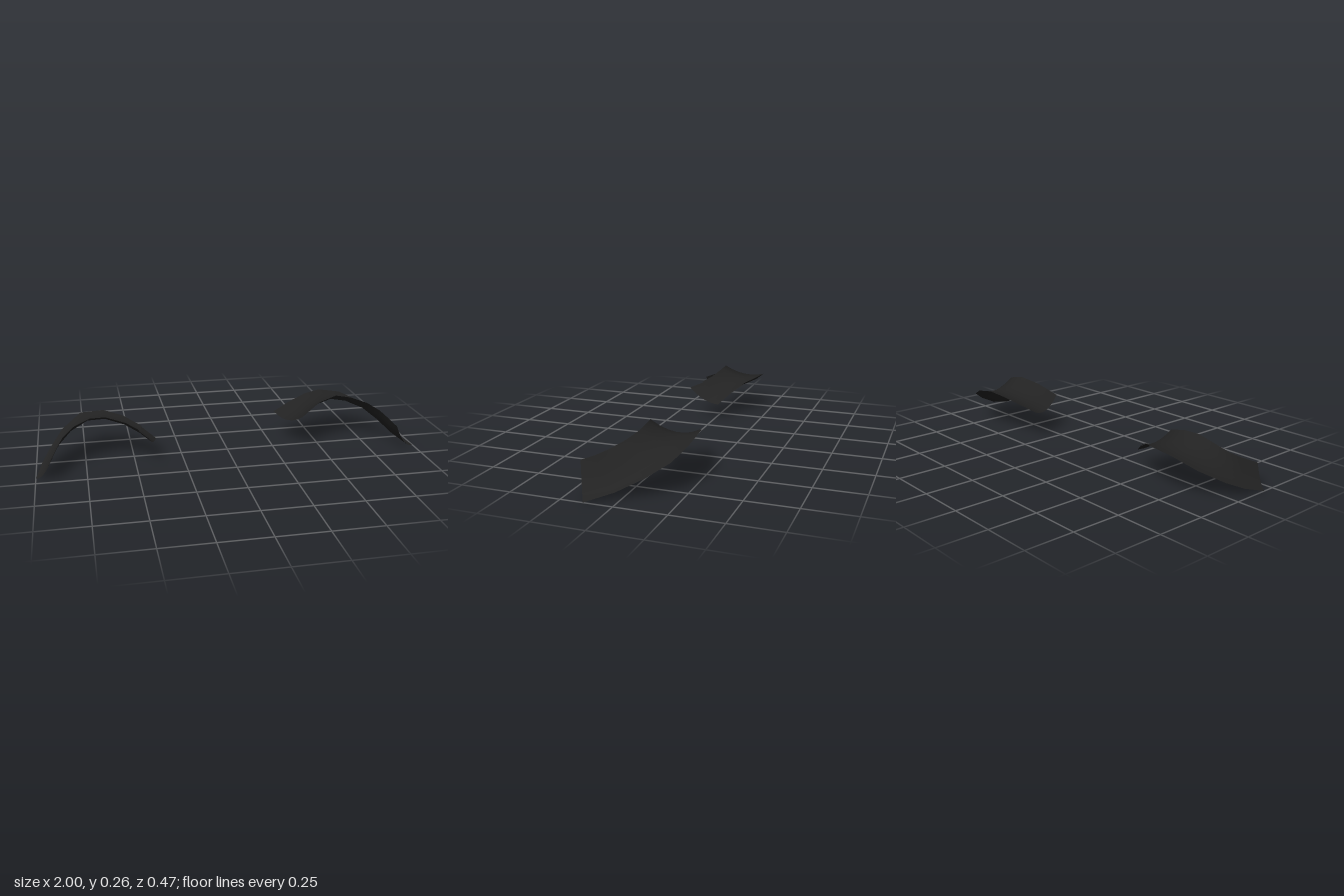
import * as THREE from 'three';

const hairMaterial = new THREE.MeshStandardMaterial({ color: 0x222222, side: THREE.DoubleSide });
hairMaterial.name = 'black hair';

// Curved sheet lofted between a back and a front edge, sagging between them.
// Each section is [backX, backY, backZ, frontX, frontY, frontZ], ordered by falling x.
function browSheet(name, sections, sag, rows = 6) {
  const positions = [], index = [];
  for (const [bx, by, bz, fx, fy, fz] of sections) {
    for (let j = 0; j <= rows; j++) {
      const t = j / rows;
      positions.push(bx + (fx - bx) * t, by + (fy - by) * t - sag * 4 * t * (1 - t), bz + (fz - bz) * t);
    }
  }
  const n = rows + 1;
  for (let i = 0; i < sections.length - 1; i++) {
    for (let j = 0; j < rows; j++) {
      const a = i * n + j, b = a + n;
      index.push(a, b, a + 1, b, b + 1, a + 1);
    }
  }
  const geometry = new THREE.BufferGeometry();
  geometry.setAttribute('position', new THREE.Float32BufferAttribute(positions, 3));
  geometry.setIndex(index);
  geometry.computeVertexNormals();
  const mesh = new THREE.Mesh(geometry, hairMaterial);
  mesh.name = name;
  return mesh;
}

export function createModel() {
  const model = new THREE.Group();
  model.name = 'eyebrows';

  // Left brow, outer tip to inner end
  const left = [
    [1.0, 0.003, 0.14, 0.87, 0.145, 0.212],
    [0.935, 0.04, 0.02, 0.85, 0.167, 0.15],
    [0.875, 0.10, -0.10, 0.82, 0.195, 0.09],
    [0.805, 0.16, -0.193, 0.765, 0.225, 0.037],
    [0.70, 0.208, -0.234, 0.685, 0.25, 0.005],
    [0.58, 0.228, -0.238, 0.60, 0.266, 0.0],
    [0.49, 0.215, -0.22, 0.50, 0.245, 0.03],
    [0.39, 0.185, -0.185, 0.44, 0.215, 0.06],
    [0.29, 0.15, -0.14, 0.39, 0.188, 0.085],
  ];

  // Right brow, inner end to outer tip
  const right = [
    [-0.38, 0.095, -0.02, -0.435, 0.167, 0.17],
    [-0.45, 0.145, -0.07, -0.48, 0.19, 0.11],
    [-0.54, 0.188, -0.13, -0.54, 0.215, 0.065],
    [-0.64, 0.208, -0.183, -0.64, 0.243, 0.035],
    [-0.76, 0.20, -0.188, -0.72, 0.243, 0.04],
    [-0.86, 0.14, -0.12, -0.80, 0.213, 0.06],
    [-0.93, 0.075, -0.01, -0.858, 0.175, 0.10],
    [-0.97, 0.035, 0.08, -0.885, 0.147, 0.15],
    [-1.0, 0.003, 0.19, -0.92, 0.11, 0.234],
  ];

  model.add(browSheet('leftBrow', left, 0.035));
  model.add(browSheet('rightBrow', right.slice(1), 0.025));

  // Inner flap of the right brow, tucked just below the main sheet
  const flap = browSheet('rightBrowInnerFlap', right.slice(0, 3), 0.02);
  flap.position.y = -0.006;
  model.add(flap);

  return model;
}
